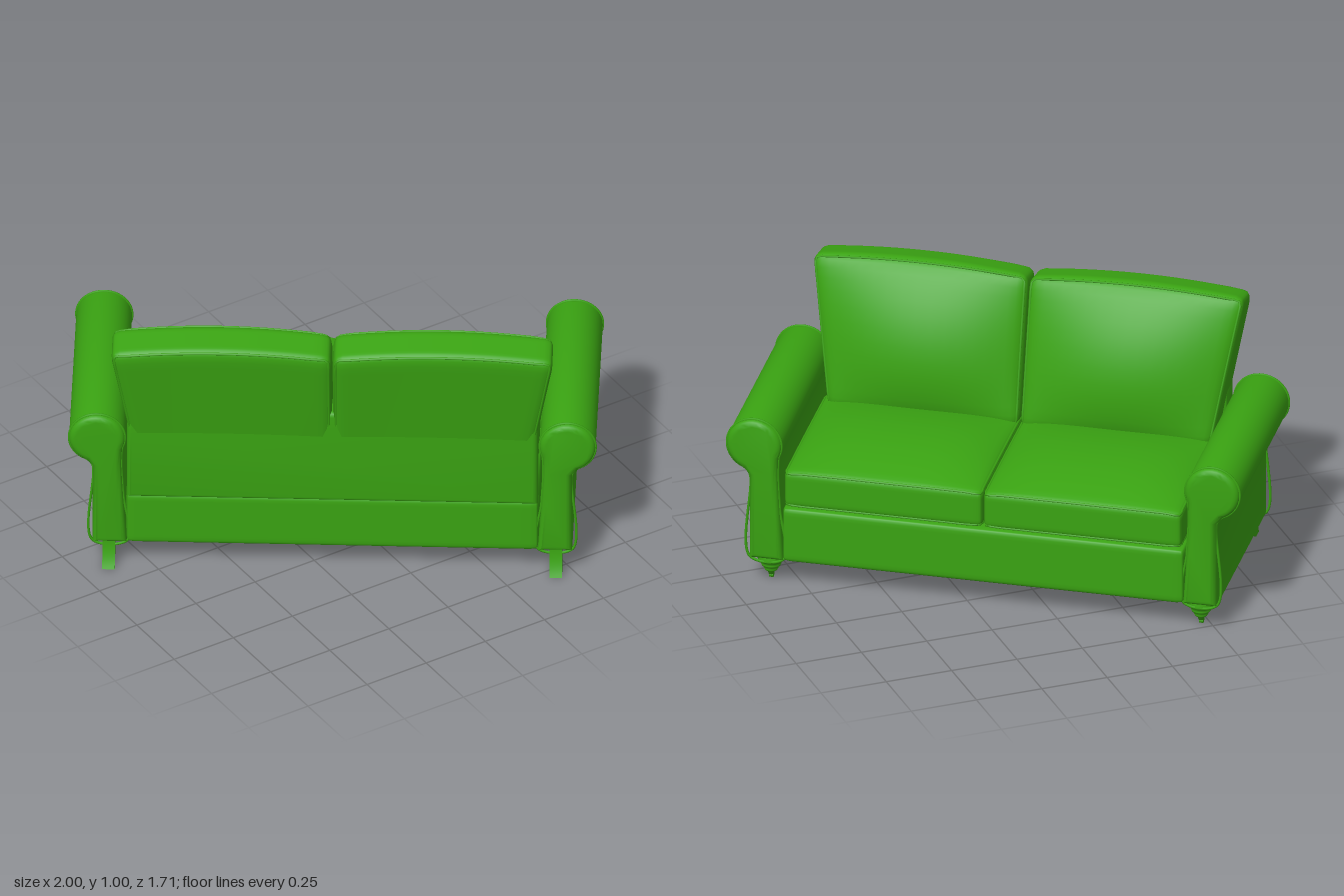
import * as THREE from 'three';
import { mergeVertices, toCreasedNormals } from 'three/addons/utils/BufferGeometryUtils.js';

const fabric = new THREE.MeshStandardMaterial({ color: 0x3aa312 });
const lerp = THREE.MathUtils.lerp;

function add(parent, name, geometry) {
  const mesh = new THREE.Mesh(geometry, fabric);
  mesh.name = name;
  parent.add(mesh);
  return mesh;
}

// Maps a point of the cube [-1,1]^3 to a rounded box of half sizes h, then through warp
function roundedPoint(p, h, r, warp) {
  const q = p.clone().multiply(h);
  const inner = q.clone().clamp(h.clone().subScalar(r).negate(), h.clone().subScalar(r));
  const dir = q.clone().sub(inner);
  if (dir.lengthSq() > 1e-12) q.copy(inner).addScaledVector(dir.normalize(), r);
  return warp(q.divide(h));
}

// Soft upholstered block
function pillow(h, r, warp) {
  const geo = new THREE.BoxGeometry(2, 2, 2, 22, 16, 18);
  geo.deleteAttribute('uv');
  geo.deleteAttribute('normal');
  const pos = geo.attributes.position;
  const p = new THREE.Vector3();
  const ease = (t) => Math.sin((t * Math.PI) / 2);
  for (let i = 0; i < pos.count; i++) {
    p.fromBufferAttribute(pos, i);
    p.set(ease(p.x), ease(p.y), ease(p.z));
    const v = roundedPoint(p, h, r, warp);
    pos.setXYZ(i, v.x, v.y, v.z);
  }
  const merged = mergeVertices(geo, 1e-5);
  merged.computeVertexNormals();
  return merged;
}

function welt(points) {
  const curve = new THREE.CatmullRomCurve3(points, true, 'centripetal');
  return new THREE.TubeGeometry(curve, 140, 0.005, 6, true);
}

// Piping around one edge loop of a pillow; axis is the constant direction
function pillowWelt(h, r, warp, axis, side) {
  const pts = [];
  const corners = [[-1, -1], [1, -1], [1, 1], [-1, 1]];
  corners.forEach((a, i) => {
    const b = corners[(i + 1) % 4];
    for (let k = 0; k < 12; k++) {
      const m = lerp(a[0], b[0], k / 12);
      const n = lerp(a[1], b[1], k / 12);
      const p = axis === 'y' ? new THREE.Vector3(m, side, n) : new THREE.Vector3(m, n, side);
      pts.push(roundedPoint(p, h, r, warp));
    }
  });
  return welt(pts);
}

function cushion(parent, name, h, r, warp, axis) {
  const group = new THREE.Group();
  group.name = name;
  add(group, name + 'Body', pillow(h, r, warp));
  for (const side of [-1, 1]) add(group, name + 'Piping', pillowWelt(h, r, warp, axis, side));
  parent.add(group);
}

function seatCushion(parent, s) {
  const h = new THREE.Vector3(0.364, 0.07, 0.325);
  const warp = ({ x: u, y: v, z: w }) => new THREE.Vector3(
    s * 0.366 + u * h.x,
    0.389 + v * h.y + (v > 0 ? 0.05 * v * (1 - u ** 4) * (1 - w * w) : 0),
    0.067 + w * h.z
  );
  cushion(parent, 'seatCushion', h, 0.022, warp, 'y');
}

// Leaning back cushion: flares outward at the top and bulges to the front
function backCushion(parent, s) {
  const h = new THREE.Vector3(0.38, 0.26, 0.09);
  const warp = ({ x: u, y: v, z: w }) => {
    const up = (v + 1) / 2;
    const out = (u * s + 1) / 2;
    const front = lerp(-0.165, -0.315, up) + 0.085 * (1 - u * u) * (1 - v * v);
    const back = lerp(-0.385, -0.457, up);
    return new THREE.Vector3(
      s * lerp(0.002, lerp(0.705, 0.795, up), out),
      lerp(0.44, 0.965, up) + up * (0.025 * (1 - u * u) + 0.014 * w),
      lerp(back, front, (w + 1) / 2)
    );
  };
  cushion(parent, 'backCushion', h, 0.035, warp, 'z');
}

// Rolled arm outline on side s
function armOutline(s) {
  const pts = [[0.735, 0.1], [0.858, 0.1], [0.858, 0.43]];
  for (let i = 0; i <= 28; i++) {
    const a = THREE.MathUtils.degToRad(lerp(-68, 205, i / 28));
    pts.push([0.842 + 0.1 * Math.cos(a), 0.549 + 0.1 * Math.sin(a)]);
  }
  pts.push([0.755, 0.44], [0.748, 0.3]);
  return pts.map(([x, y]) => new THREE.Vector2(s * x, y));
}

function bevelled(shape, z0, z1, bevel) {
  const geo = new THREE.ExtrudeGeometry(shape, {
    depth: z1 - z0 - 2 * bevel, bevelThickness: bevel, bevelSize: bevel,
    bevelOffset: -bevel, bevelSegments: 4, curveSegments: 10,
  });
  geo.translate(0, 0, z0 + bevel);
  return toCreasedNormals(geo, 0.7);
}

function arm(parent, s) {
  const group = new THREE.Group();
  group.name = 'arm';
  const outline = armOutline(s);
  add(group, 'armBody', bevelled(new THREE.Shape(outline), -0.408, 0.397, 0.022));
  for (const z of [-0.387, 0.375]) {
    add(group, 'armPiping', welt(outline.map((p) => new THREE.Vector3(p.x, p.y, z))));
  }
  parent.add(group);
}

function backFrame(parent) {
  const w = 0.735, top = 0.685, r = 0.09;
  const shape = new THREE.Shape();
  shape.moveTo(-w, 0.3);
  shape.lineTo(w, 0.3);
  shape.lineTo(w, top - r);
  shape.quadraticCurveTo(w, top, w - r, top);
  shape.lineTo(-w + r, top);
  shape.quadraticCurveTo(-w, top, -w, top - r);
  add(parent, 'backPanel', bevelled(shape, -0.405, -0.3, 0.018));
}

// Turned front leg ending in a small caster
function frontLeg(parent, s) {
  const group = new THREE.Group();
  group.name = 'frontLeg';
  const profile = [[0, 0.015], [0.01, 0.018], [0.012, 0.03], [0.022, 0.035], [0.026, 0.042], [0.022, 0.048],
    [0.034, 0.054], [0.038, 0.062], [0.033, 0.068], [0.046, 0.075], [0.049, 0.085], [0.044, 0.092], [0.044, 0.12]];
  add(group, 'turnedLeg', new THREE.LatheGeometry(profile.map((p) => new THREE.Vector2(...p)), 20));
  const wheel = add(group, 'caster', new THREE.CylinderGeometry(0.012, 0.012, 0.014, 14));
  wheel.rotation.z = Math.PI / 2;
  wheel.position.set(0, 0.012, -0.008);
  group.position.set(s * 0.79, 0, 0.332);
  parent.add(group);
}

// Sabre-shaped rear leg sweeping backward
function rearLeg(parent, s) {
  const shape = new THREE.Shape();
  shape.moveTo(-0.428, 0);
  shape.lineTo(-0.385, 0);
  shape.quadraticCurveTo(-0.345, 0.05, -0.34, 0.12);
  shape.lineTo(-0.395, 0.12);
  shape.quadraticCurveTo(-0.395, 0.05, -0.428, 0);
  const geo = new THREE.ExtrudeGeometry(shape, { depth: 0.045, bevelEnabled: false, curveSegments: 8 });
  geo.translate(0, 0, -0.0225);
  geo.rotateY(-Math.PI / 2);
  geo.translate(s * 0.8, 0, 0);
  add(parent, 'rearLeg', toCreasedNormals(geo, 0.6));
}

export function createModel() {
  const model = new THREE.Group();
  model.name = 'twoSeatSofa';
  const sofa = new THREE.Group();
  sofa.name = 'sofa';

  // Upholstered base
  const baseHalf = new THREE.Vector3(0.738, 0.108, 0.393);
  add(sofa, 'base', pillow(baseHalf, 0.02, (p) => p.multiply(baseHalf).add(new THREE.Vector3(0, 0.203, -0.005))));
  backFrame(sofa);

  for (const s of [-1, 1]) {
    arm(sofa, s);
    seatCushion(sofa, s);
    backCushion(sofa, s);
    frontLeg(sofa, s);
    rearLeg(sofa, s);
  }

  // The sofa stands turned, its back toward +z
  sofa.rotation.y = Math.PI - 0.597;
  model.add(sofa);
  return model;
}
